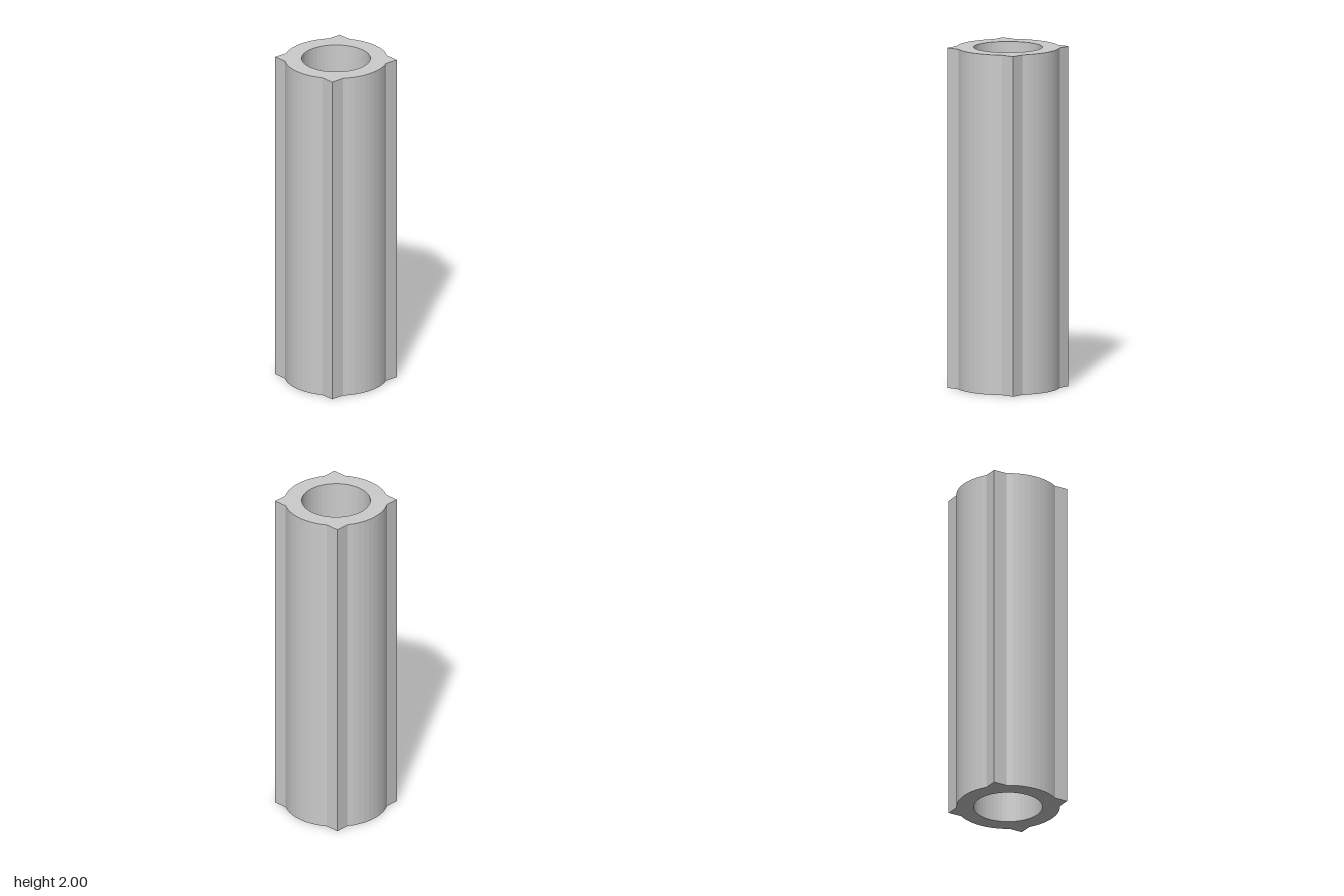
import * as THREE from 'three';

const LENGTH = 2, OUTER = 0.3, BORE = 0.2, HALF_SQUARE = 0.25;
const COLLAR_START = 0.67, COLLAR_LENGTH = 0.66;

// Points along an arc about the tube's axis
function arc(radius, from, to, steps) {
  return Array.from({ length: steps + 1 }, (_, i) => {
    const a = from + (to - from) * i / steps;
    return new THREE.Vector2(radius * Math.cos(a), radius * Math.sin(a));
  });
}

// Upright extrusion starting at a given height
function upright(shape, depth, y, name, material) {
  const geometry = new THREE.ExtrudeGeometry(shape, { depth, bevelEnabled: false });
  geometry.rotateX(-Math.PI / 2).translate(0, y, 0);
  const mesh = new THREE.Mesh(geometry, material);
  mesh.name = name;
  return mesh;
}

export function createModel() {
  const group = new THREE.Group();
  group.name = 'ribbedTube';
  const material = new THREE.MeshStandardMaterial({ color: 0xcccccc });

  // Round tube merged with a square bar: four bulging sides, four corner ribs
  const spread = Math.acos(HALF_SQUARE / OUTER);
  const outline = [];
  for (let side = 0; side < 4; side++) {
    const middle = side * Math.PI / 2;
    outline.push(...arc(OUTER, middle - spread, middle + spread, 10));
    outline.push(...arc(HALF_SQUARE * Math.SQRT2, middle + Math.PI / 4, middle + Math.PI / 4, 1).slice(1));
  }
  const section = new THREE.Shape(outline);
  section.holes.push(new THREE.Path(arc(BORE, 0, Math.PI * 2, 48).slice(0, -1).reverse()));
  group.add(upright(section, LENGTH, 0, 'tubeBody', material));

  // Six fillers turn the middle of the round bore into a hexagon
  const collar = new THREE.Group();
  collar.name = 'hexCollar';
  for (let i = 0; i < 6; i++) {
    const start = Math.PI / 6 + i * Math.PI / 3;
    const filler = new THREE.Shape(arc(BORE, start, start + Math.PI / 3, 8));
    collar.add(upright(filler, COLLAR_LENGTH, COLLAR_START, 'hexFlat', material));
  }
  group.add(collar);
  return group;
}
